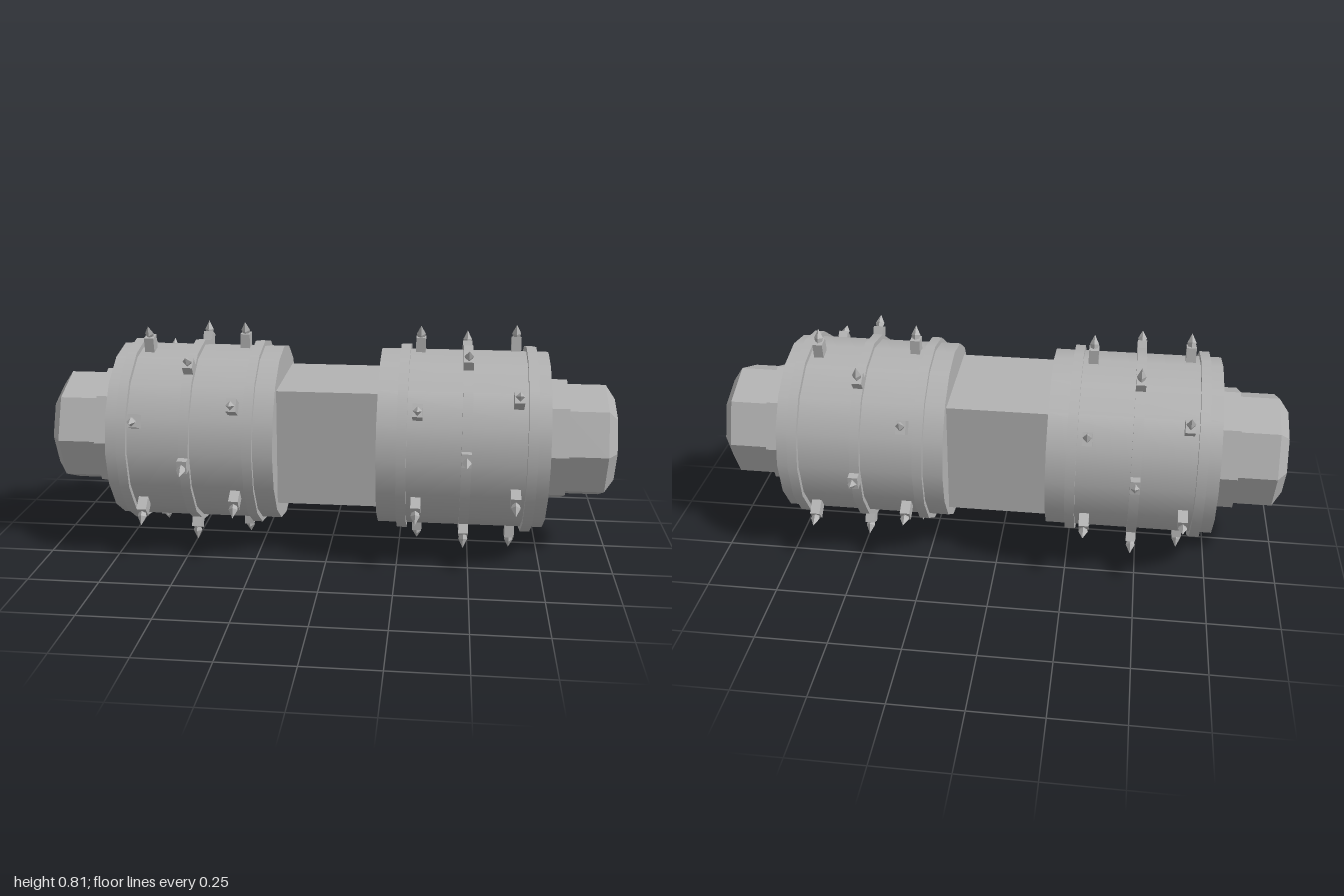
import * as THREE from 'three';

export function createModel() {
  const model = new THREE.Group();
  const steel = new THREE.MeshStandardMaterial({ color: 0xb2b2b2 });
  steel.name = 'steelGrey';
  const flat = (g) => {
    const f = g.index ? g.toNonIndexed() : g;
    f.computeVertexNormals();
    return f;
  };

  const rotor = new THREE.Group();
  rotor.name = 'rotor';
  rotor.position.y = 0.41;
  model.add(rotor);

  const add = (name, geometry, parent = rotor) => {
    const mesh = new THREE.Mesh(geometry, steel);
    mesh.name = name;
    parent.add(mesh);
    return mesh;
  };

  // Cylinder lying along x from x0 to x1 (r0 at x0, r1 at x1)
  const barrel = (x0, x1, r0, r1, sides) =>
    new THREE.CylinderGeometry(r1, r0, x1 - x0, sides)
      .rotateZ(-Math.PI / 2)
      .translate((x0 + x1) / 2, 0, 0);

  // Square shaft between the drums
  add('shaft', new THREE.BoxGeometry(0.36, 0.41, 0.41));

  // Cutting tooth: square holder with a leaning four-sided pick
  const holderGeo = new THREE.BoxGeometry(0.034, 0.054, 0.046);
  const pickGeo = flat(new THREE.LatheGeometry([
    new THREE.Vector2(0.011, -0.004),
    new THREE.Vector2(0.016, 0.014),
    new THREE.Vector2(0.0005, 0.046),
  ], 4));
  const addTooth = (x, degrees) => {
    const tooth = new THREE.Group();
    tooth.name = 'tooth';
    tooth.position.x = x;
    tooth.rotation.x = THREE.MathUtils.degToRad(degrees);
    add('toothHolder', holderGeo, tooth).position.y = 0.336;
    const pick = add('toothPick', pickGeo, tooth);
    pick.position.y = 0.362;
    pick.rotation.x = 0.35;
    rotor.add(tooth);
  };

  for (const side of [-1, 1]) {
    const half = new THREE.Group();
    half.name = side > 0 ? 'leftDrum' : 'rightDrum';
    half.rotation.y = side > 0 ? 0 : Math.PI;
    rotor.add(half);

    // Drum with three raised bands
    add('drum', barrel(0.176, 0.76, 0.317, 0.317, 16), half);
    for (const x of [0.262, 0.481, 0.7]) {
      add('band', barrel(x - 0.017, x + 0.017, 0.335, 0.335, 16), half);
    }

    // Octagonal collar and chamfered end nut
    add('collar', flat(barrel(0.75, 0.83, 0.221, 0.221, 8)), half);
    add('endNut', flat(barrel(0.82, 0.965, 0.205, 0.205, 8)), half);
    add('endChamfer', flat(barrel(0.965, 1, 0.205, 0.154, 8)), half);
  }

  // Rows of teeth: position along x, starting angle, number of teeth
  const rows = [
    [-0.65, 10, 6], [-0.481, 35, 6], [-0.314, 0, 6],
    [0.314, 0, 6], [0.481, 26, 6], [0.65, -9, 5],
  ];
  for (const [x, start, count] of rows) {
    for (let i = 0; i < count; i++) addTooth(x, start + i * 60);
  }

  return model;
}
